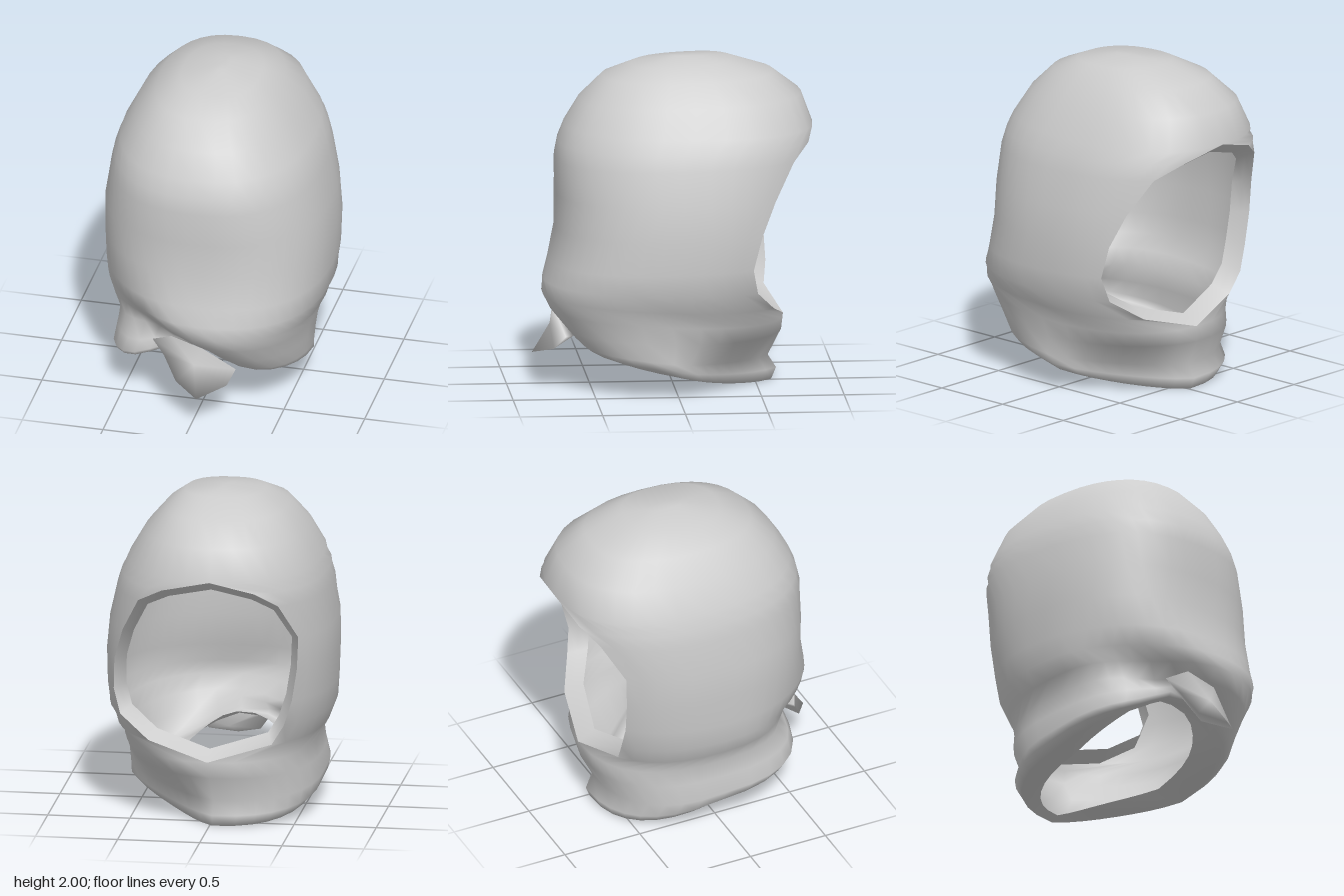
import * as THREE from 'three';
import { mergeVertices } from 'three/addons/utils/BufferGeometryUtils.js';

const cloth = new THREE.MeshStandardMaterial({ color: 0xcccccc, side: THREE.DoubleSide });
cloth.name = 'grey cloth';

const COLS = 32;

// Rows from crown to neck: xMin, xMax, z rear, z face, y rear, y face
const crownRows = [
  [-0.06, 0.02, 0, -0.2, 2.0, 2.0],
  [-0.26, 0.22, 0.24, -0.36, 1.955, 1.985],
  [-0.41, 0.33, 0.42, -0.61, 1.88, 1.9],
  [-0.53, 0.45, 0.56, -0.78, 1.74, 1.77],
  [-0.62, 0.55, 0.65, -0.85, 1.59, 1.58],
];
// The same, then the half angles cut out for the face on the +x and -x sides
const faceRows = [
  [-0.65, 0.59, 0.69, -0.86, 1.49, 1.51, 24, 22],
  [-0.67, 0.62, 0.71, -0.86, 1.39, 1.42, 40, 36],
  [-0.70, 0.67, 0.71, -0.82, 1.18, 1.2, 50, 47],
  [-0.70, 0.69, 0.71, -0.80, 0.97, 1.0, 57, 46],
  [-0.69, 0.69, 0.75, -0.77, 0.77, 0.8, 59, 43],
  [-0.68, 0.68, 0.79, -0.74, 0.66, 0.64, 53, 38],
  [-0.64, 0.64, 0.80, -0.68, 0.58, 0.51, 32, 32],
];
const neckRows = [
  [-0.59, 0.60, 0.76, -0.67, 0.48, 0.41],
  [-0.60, 0.58, 0.70, -0.66, 0.36, 0.31],
  [-0.61, 0.57, 0.64, -0.58, 0.28, 0.15],
  [-0.60, 0.56, 0.60, -0.63, 0.25, 0.07],
  [-0.55, 0.52, 0.55, -0.60, 0.24, 0.0],
  [-0.37, 0.34, 0.46, -0.55, 0.28, 0.03], // hem turned inward
];
const BROW = crownRows.length - 1, CHIN = BROW + faceRows.length + 1;

const { lerp, degToRad, smoothstep } = THREE.MathUtils;
const soften = v => Math.sign(v) * Math.abs(v) ** 0.84;
const bell = (v, w) => Math.exp(-((v / w) ** 2));

function hoodPoint(row, t) {
  const [x0, x1, zB, zF, yB, yF, cutL = 0, cutR = 0] = row;
  const a = lerp(-Math.PI + degToRad(cutR), Math.PI - degToRad(cutL), t);
  const s = soften(Math.sin(a)), c = soften(Math.cos(a));
  let x = (x0 + x1) / 2 + s * (x1 - x0) / 2;
  let z = (zB + zF) / 2 + c * (zB - zF) / 2;
  let y = yF + (yB - yF) * (c + 1) / 2;
  if (c > 0) {
    // slanting fold with a hollow beneath it, and a raised notch in the rear hem
    const ridge = 0.66 - 0.36 * x;
    z -= 0.22 * c * smoothstep(-x, -0.15, 0.35) * bell(y - ridge + 0.28, 0.16);
    const low = 1 - smoothstep(y, 0.25, 0.55);
    y += 0.17 * low * c * bell(x + 0.06, 0.28);
  }
  // neck skewed: drawn in at the +x face corner, out at the opposite one
  const skew = s * c * (1 - smoothstep(yF, 0.05, 0.5));
  if (s > 0 && c < 0) { x += 0.24 * skew; z -= 0.24 * skew; }
  if (s < 0 && c > 0) { x += 0.07 * skew; z -= 0.07 * skew; }
  return new THREE.Vector3(x, y, z);
}

// Smooth surface through a grid of points
function surface(grid, name) {
  const n = grid[0].length, index = [];
  for (let r = 0; r < grid.length - 1; r++)
    for (let c = 0; c < n - 1; c++) {
      const a = r * n + c, b = a + n;
      index.push(a, b, b + 1, a, b + 1, a + 1);
    }
  let geo = new THREE.BufferGeometry().setFromPoints(grid.flat());
  geo.setIndex(index);
  geo = mergeVertices(geo, 1e-4);
  geo.computeVertexNormals();
  const mesh = new THREE.Mesh(geo, cloth);
  mesh.name = name;
  return mesh;
}

export function createModel() {
  const group = new THREE.Group();
  group.name = 'hood';

  // Draped shell, from crown to neck
  const grid = [...crownRows, ...faceRows, ...neckRows].map(row =>
    Array.from({ length: COLS + 1 }, (_, i) => hoodPoint(row, i / COLS)));
  const top = new THREE.Vector3(-0.02, 2, -0.1);
  const crown = grid[0].map(() => top.clone());
  group.add(surface([crown, ...grid], 'hoodShell'));

  // Lip folded inward around the face opening
  const edge = [];
  for (let r = BROW; r <= CHIN; r++) edge.push(grid[r][COLS]);
  for (let r = CHIN - 1; r >= BROW; r--) edge.push(grid[r][0]);
  const inset = k => edge.map(p => new THREE.Vector3(
    p.x * (1 - 0.1 * k), p.y + (0.95 - p.y) * 0.11 * k, p.z + 0.11 * k));
  group.add(surface([edge, inset(0.5), inset(1)], 'faceOpeningLip'));

  // Loose end of cloth hanging at the rear hem
  const outline = [
    [-0.28, 0.46, 0.64], [-0.2, 0.38, 0.68], [-0.11, 0.25, 0.75], [0.04, 0.2, 0.85],
    [0.2, 0.25, 0.73], [0.24, 0.33, 0.66], [0.05, 0.48, 0.72], [-0.15, 0.53, 0.7],
  ].map(p => new THREE.Vector3(...p));
  outline.push(outline[0].clone());
  const fan = (x, y, z) => outline.map(() => new THREE.Vector3(x, y, z));
  group.add(surface([fan(0, 0.37, 0.74), outline, fan(0.06, 0.3, 0.6)], 'looseClothEnd'));

  return group;
}
